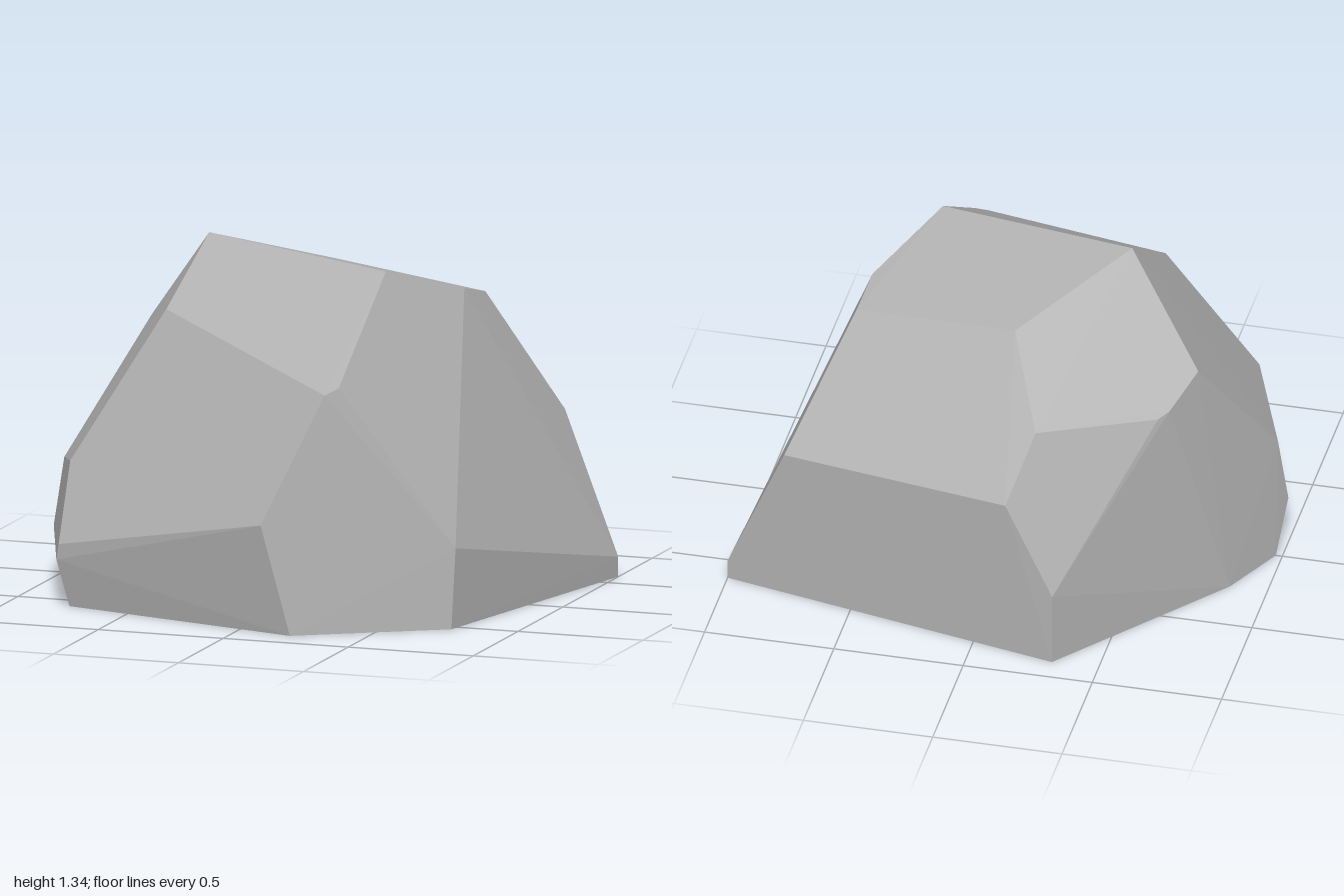
import * as THREE from 'three';
import { ConvexGeometry } from 'three/addons/geometries/ConvexGeometry.js';

export function createModel() {
  const group = new THREE.Group();
  group.name = 'rock';

  const stone = new THREE.MeshStandardMaterial({ color: 0xb0b0b0 });
  stone.name = 'stone grey';

  // corners of the faceted boulder, ring by ring from the ground up
  const rings = {
    base: [
      [0.22, 0, 0.87], [0.75, 0, 0.545], [1, 0, -0.62], [-0.32, 0, -0.9],
      [-0.855, 0, -0.245], [-0.975, 0, 0], [-0.755, 0, 0.61],
    ],
    lower: [
      [0.11, 0.42, 0.89], [0.755, 0.305, 0.513], [1, 0.077, -0.62], [-0.32, 0.29, -0.895],
      [-1, 0.2, 0.1], [-0.965, 0.46, 0.08], [-0.8, 0.18, 0.63], [-0.79, 0.24, 0.632], [-0.8, 0.53, 0.475],
    ],
    shoulder: [
      [0.305, 0.9, 0.72], [0.35, 0.925, 0.687], [0.77, 0.62, -0.668], [-0.13, 0.65, -0.858],
      [-0.21, 0.888, -0.7], [-0.625, 0.852, -0.45], [-0.66, 0.868, -0.41], [-0.735, 0.96, -0.255],
      [-0.48, 1.1, 0.295],
    ],
    crown: [
      [-0.43, 1.335, -0.045], [0.35, 1.275, 0.16], [0.542, 1.16, -0.18],
      [0.56, 1.115, -0.365], [-0.075, 1.18, -0.465],
    ],
  };
  const corners = Object.values(rings).flat().map((p) => new THREE.Vector3(...p));

  // flat-faced hull around the corners
  const boulder = new THREE.Mesh(new ConvexGeometry(corners), stone);
  boulder.name = 'boulder';
  group.add(boulder);
  return group;
}
